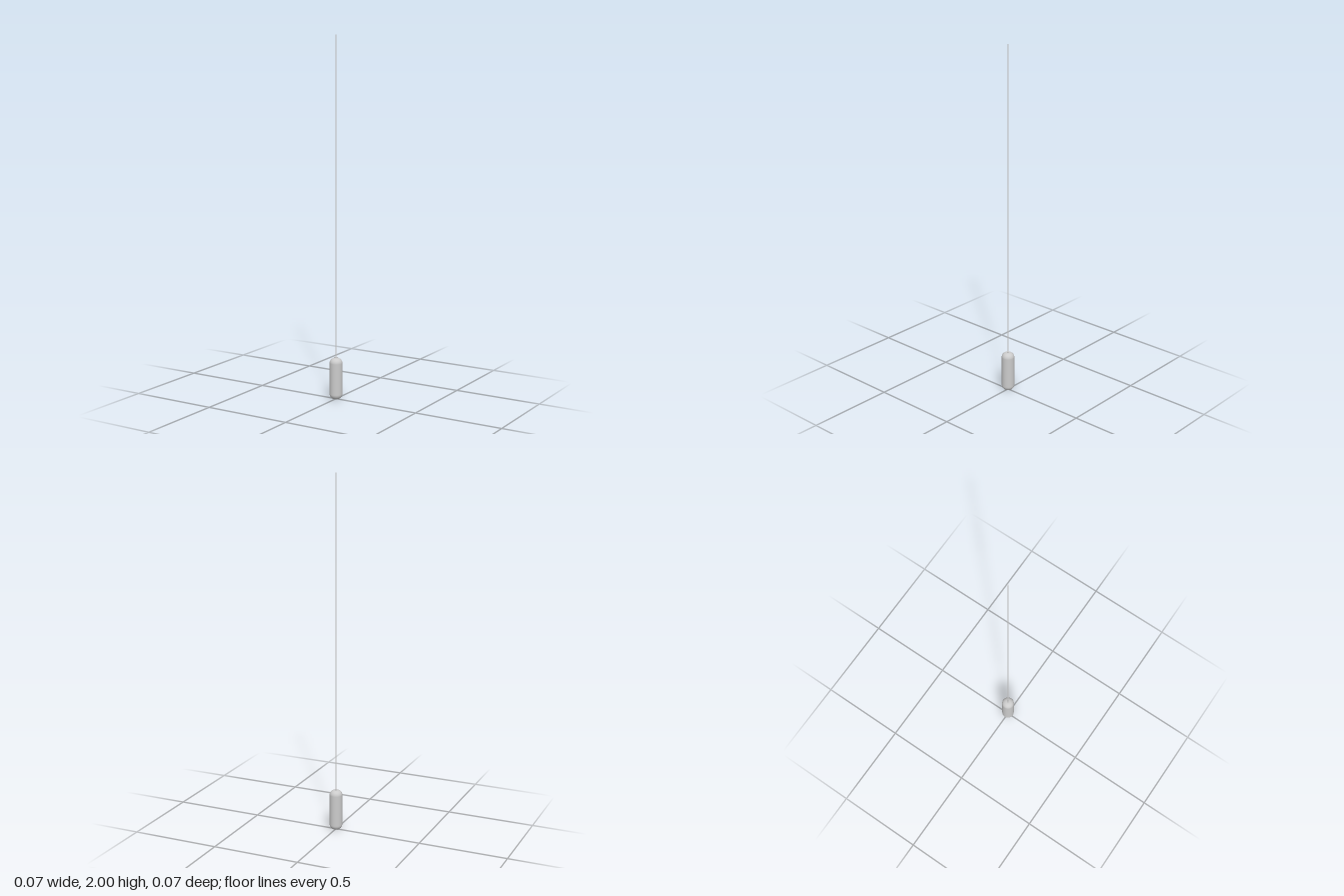
import * as THREE from 'three';

export function createModel() {
  const group = new THREE.Group();
  const material = new THREE.MeshStandardMaterial({ color: 0xcccccc });
  const add = (name, geometry, y = 0) => {
    const mesh = new THREE.Mesh(geometry, material);
    mesh.name = name;
    mesh.position.y = y;
    group.add(mesh);
  };

  // Capsule body: both ends rounded around a small flat centre
  const R = 0.036, top = 0.233, round = 0.029;
  const profile = [new THREE.Vector2(0, 0)];
  const arc = (cy, from) => {
    for (let i = 0; i <= 12; i++) {
      const a = from + Math.PI / 2 * i / 12;
      profile.push(new THREE.Vector2(R - round + round * Math.cos(a), cy + round * Math.sin(a)));
    }
  };
  arc(round, -Math.PI / 2);
  arc(top - round, 0);
  profile.push(new THREE.Vector2(0, top));
  add('lampBody', new THREE.LatheGeometry(profile, 48));

  // Small collar where the cord enters the body
  const collar = [[0.007, 0.23], [0.007, 0.238], [0.006, 0.241], [0.003, 0.242]];
  add('cordCollar', new THREE.LatheGeometry(collar.map(([x, y]) => new THREE.Vector2(x, y)), 24));

  // Long suspension cord
  const cordStart = 0.23;
  add('cord', new THREE.CylinderGeometry(0.0035, 0.0035, 2 - cordStart, 16), (2 + cordStart) / 2);

  return group;
}
